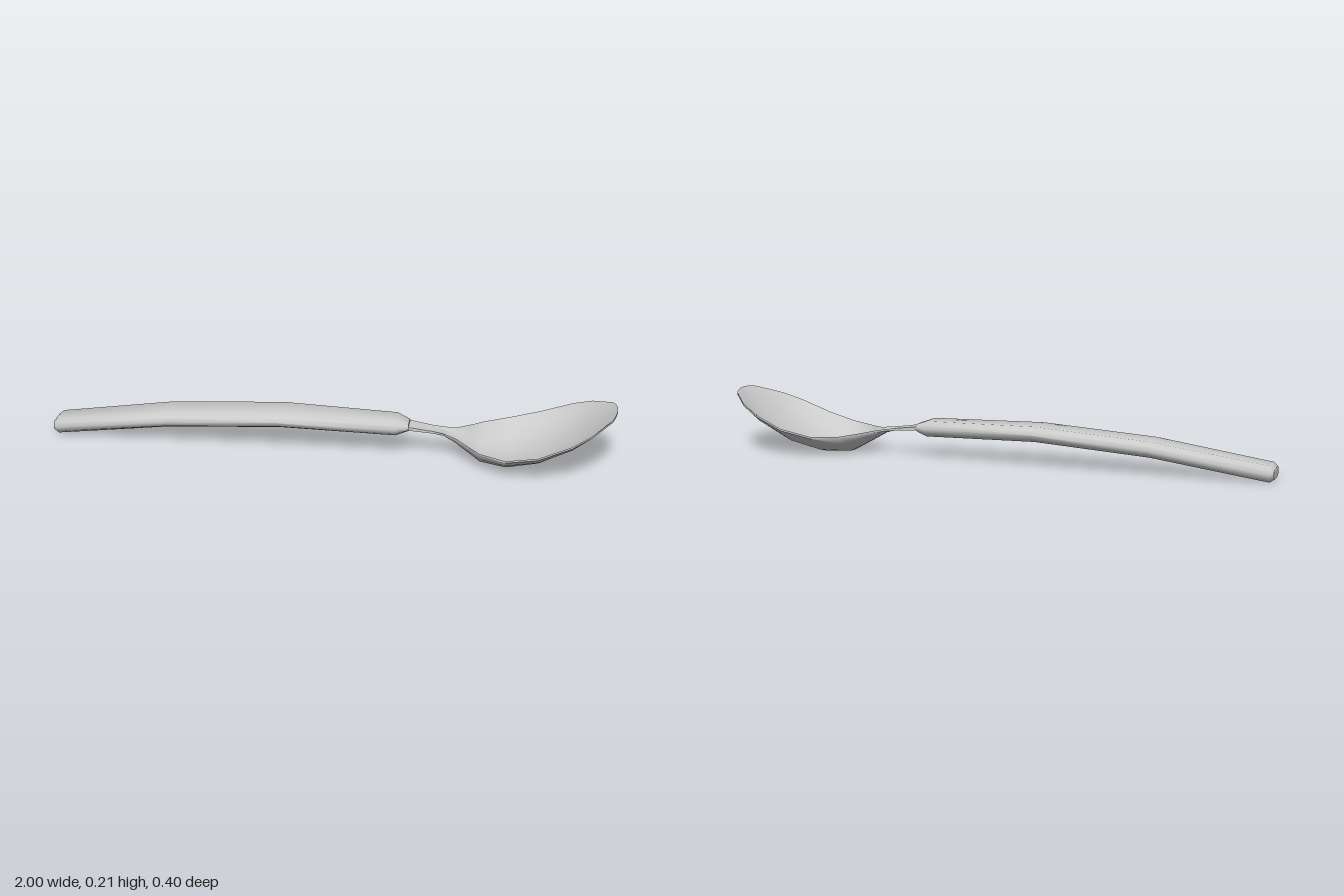
import * as THREE from 'three';
import { toCreasedNormals } from 'three/addons/utils/BufferGeometryUtils.js';

// Skin over equal rings of [x, y, z], ordered counter-clockwise about +x, with strip caps.
function loft(rings, crease) {
  const n = rings[0].length, last = (rings.length - 1) * n, index = [];
  const quad = (a, b, c, d) => index.push(a, b, c, a, c, d);
  for (let i = 0; i < rings.length - 1; i++) {
    for (let j = 0; j < n; j++) {
      const k = (j + 1) % n;
      quad(i * n + j, i * n + k, (i + 1) * n + k, (i + 1) * n + j);
    }
  }
  for (let j = 0; j < n / 2 - 1; j++) {
    quad(n - 1 - j, n - 2 - j, j + 1, j);
    quad(last + j, last + j + 1, last + n - 2 - j, last + n - 1 - j);
  }
  const g = new THREE.BufferGeometry();
  g.setAttribute('position', new THREE.Float32BufferAttribute(rings.flat(2), 3));
  g.setIndex(index);
  return toCreasedNormals(g, crease);
}

export function createModel() {
  const group = new THREE.Group();
  const material = new THREE.MeshStandardMaterial({ color: 0xcccccc });
  const add = (name, geometry) => {
    const mesh = new THREE.Mesh(geometry, material);
    mesh.name = name;
    group.add(mesh);
  };

  // Handle: flattened rounded section; stations are [x, bottom, top, half width]
  const section = [[-0.65, 1], [0.65, 1], [0.9, 0.6], [1, 0], [0.9, -0.6],
    [0.65, -1], [-0.65, -1], [-0.9, -0.6], [-1, 0], [-0.9, 0.6]];
  const handle = [
    [-1, 0.012, 0.048, 0.046], [-0.985, 0.003, 0.059, 0.057],
    [-0.58, 0.061, 0.115, 0.077], [-0.17, 0.088, 0.141, 0.077],
    [0.24, 0.079, 0.134, 0.058], [0.285, 0.093, 0.118, 0.037],
  ].map(([x, lo, hi, w]) => section.map(([z, y]) =>
    [x, (lo + hi) / 2 + y * (hi - lo) / 2, z * w]));
  add('handle', loft(handle, 0.9));

  // Neck and bowl: thin shell; stations are
  // [x, rim height, centre height, half width, thickness, forward bulge]
  const across = [-1, -0.85, -0.6, -0.3, 0, 0.3, 0.6, 0.85, 1];
  const bowl = [
    [0.27, 0.112, 0.112, 0.034, 0.013, 0],
    [0.37, 0.098, 0.097, 0.027, 0.008, 0],
    [0.41, 0.093, 0.085, 0.031, 0.007, 0],
    [0.45, 0.086, 0.062, 0.046, 0.007, 0],
    [0.5, 0.079, 0.034, 0.095, 0.007, 0],
    [0.54, 0.075, 0.012, 0.136, 0.007, 0],
    [0.63, 0.077, 0.009, 0.184, 0.007, 0],
    [0.74, 0.102, 0.037, 0.199, 0.007, 0],
    [0.85, 0.146, 0.094, 0.185, 0.007, 0],
    [0.915, 0.175, 0.143, 0.15, 0.007, 0],
    [0.98, 0.204, 0.214, 0.08, 0.007, 0.018],
  ].map(([x, rim, mid, w, thick, bulge]) => {
    const top = across.map((t) => [
      x + bulge * (1 - t * t),
      mid + (rim - mid) * Math.abs(t) ** 2.7,
      t * w,
    ]);
    const bottom = top.map(([px, y, z]) => [px, y - thick, z]).reverse();
    return [...top, ...bottom];
  });
  add('bowlAndNeck', loft(bowl, 0.8));

  return group;
}
